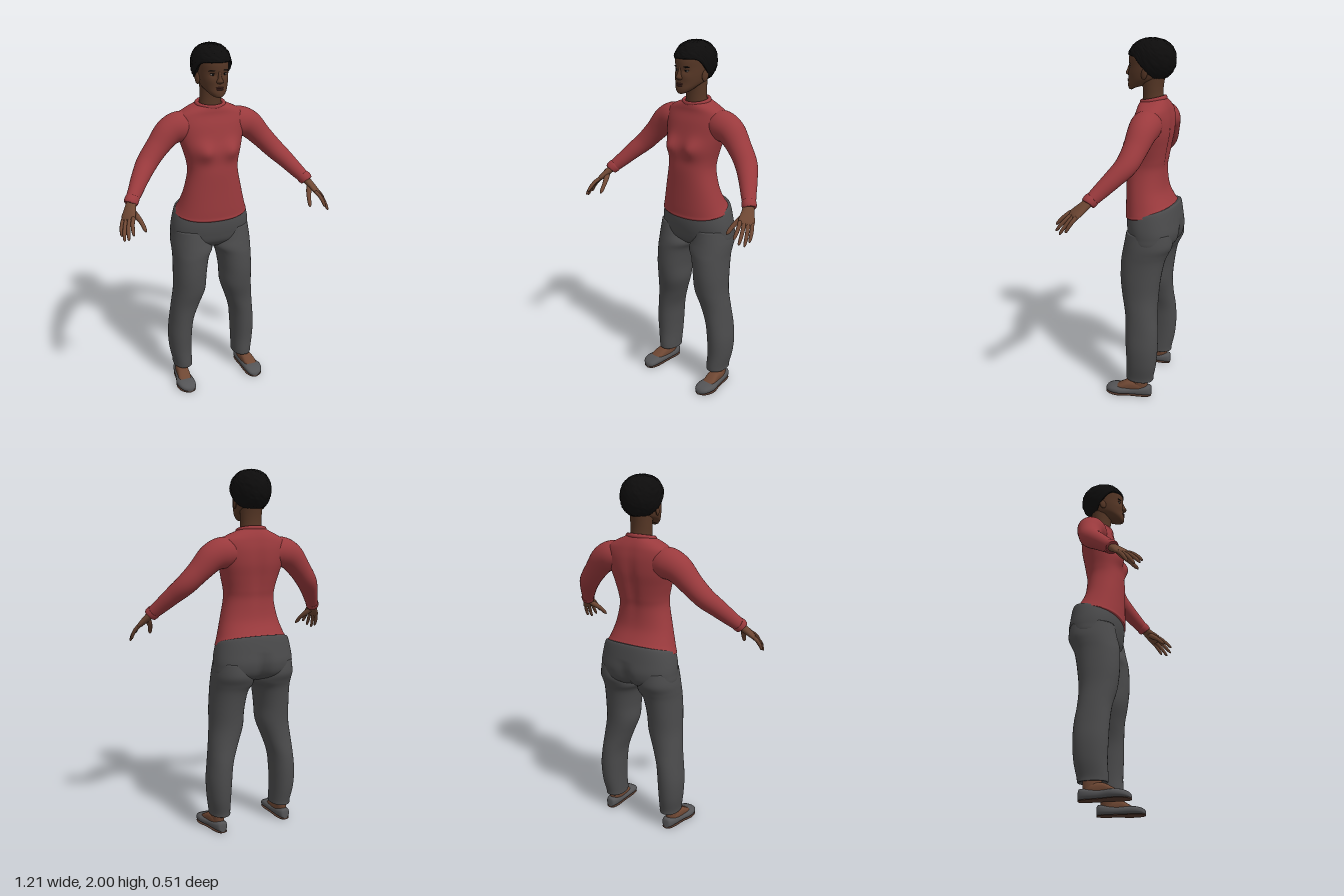
import * as THREE from 'three';

const mat = (name, color) => {
  const m = new THREE.MeshStandardMaterial({ color });
  m.name = name;
  return m;
};

// Catmull-Rom blend through a list of number arrays, t in 0..1
function sample(list, t) {
  const f = Math.min(Math.max(t, 0), 1) * (list.length - 1);
  const i = Math.min(Math.floor(f), list.length - 2), u = f - i;
  const at = k => list[Math.min(Math.max(k, 0), list.length - 1)];
  const [a, b, c, d] = [at(i - 1), at(i), at(i + 1), at(i + 2)];
  return b.map((v, k) => v + 0.5 * u * (c[k] - a[k] + u * (2 * a[k] - 5 * v + 4 * c[k] - d[k] + u * (3 * (v - c[k]) + d[k] - a[k]))));
}

// Closed smooth skin: point(section, angle, tangent) gives each ring vertex
function loft(name, material, sections, point, { cols = 32, rows = 40, mirror = 1 } = {}) {
  const pos = [], idx = [], v = new THREE.Vector3(), tan = new THREE.Vector3();
  for (let r = 0; r <= rows; r++) {
    const t = r / rows, sec = sample(sections, t);
    const p = sample(sections, t - 0.01), n = sample(sections, t + 0.01);
    tan.set(n[0] - p[0], n[1] - p[1], n[2] - p[2]).normalize();
    for (let c = 0; c < cols; c++) {
      v.copy(point(sec, c / cols * Math.PI * 2, tan));
      pos.push(v.x * mirror, v.y, v.z);
    }
  }
  for (let r = 0; r < rows; r++) for (let c = 0; c < cols; c++) {
    const a = r * cols + c, b = r * cols + (c + 1) % cols;
    idx.push(a, a + cols, b, b, a + cols, b + cols);
  }
  // end caps
  [0, rows].forEach(r => {
    const mid = [0, 0, 0], k = pos.length / 3;
    for (let c = 0; c < cols; c++) for (let j = 0; j < 3; j++) mid[j] += pos[(r * cols + c) * 3 + j] / cols;
    pos.push(...mid);
    for (let c = 0; c < cols; c++) {
      const a = r * cols + c, b = r * cols + (c + 1) % cols;
      idx.push(...(r === 0 ? [k, a, b] : [k, b, a]));
    }
  });
  // face outward whatever the path direction
  const P = k => new THREE.Vector3().fromArray(pos, k * 3);
  let vol = 0;
  for (let i = 0; i < idx.length; i += 3) vol += P(idx[i]).dot(P(idx[i + 1]).cross(P(idx[i + 2])));
  if (vol < 0) idx.reverse();
  const g = new THREE.BufferGeometry();
  g.setAttribute('position', new THREE.Float32BufferAttribute(pos, 3));
  g.setIndex(idx);
  g.computeVertexNormals();
  const m = new THREE.Mesh(g, material);
  m.name = name;
  return m;
}

const pw = (x, e) => Math.sign(x) * Math.pow(Math.abs(x), e);
const bell = (d, w) => Math.exp(-(d * d) / (w * w));
const V = (x, y, z) => new THREE.Vector3(x, y, z);

// Level ring: [front y, back y, half width, front z, back z, centre x]
const level = (e, shape) => ([yf, yb, rx, zf, zb, cx = 0], a) => {
  const s = pw(Math.sin(a), e);
  const p = V(cx + rx * pw(Math.cos(a), e), yb + (yf - yb) * (s + 1) / 2, (zf + zb) / 2 + (zf - zb) / 2 * s);
  if (shape) shape(p, s);
  return p;
};

// Ring square to a path: [x, y, z, radius across ref, radius along ref]
const limb = ref => ([x, y, z, r1, r2], a, tan) => {
  const side = tan.clone().cross(ref).normalize(), up = side.clone().cross(tan);
  return V(x, y, z).addScaledVector(side, r1 * Math.cos(a)).addScaledVector(up, r2 * Math.sin(a));
};

export function createModel() {
  const root = new THREE.Group();
  const faceSkin = mat('face skin', 0x553625), skin = mat('skin', 0x6e4733), red = mat('sweater red', 0x9a3a3d);
  const grey = mat('trouser grey', 0x4b4b4c), shoeGrey = mat('shoe grey', 0x545456), soleBrown = mat('sole brown', 0x553a2e);
  const black = mat('hair black', 0x0d0c0c), white = mat('eye white', 0x9c9088), lipCol = mat('lip', 0x4a2823);
  const add = (...m) => root.add(...m);
  const ball = (name, m, p, s) => {
    const b = new THREE.Mesh(new THREE.SphereGeometry(1, 20, 14), m);
    b.name = name;
    b.position.set(...p);
    b.scale.set(...s);
    add(b);
    return b;
  };

  // Sweater body with bust and spine hollow
  add(loft('sweaterBody', red, [
    [1.03, 1.085, .2, .04, -.225], [1.04, 1.09, .212, .05, -.238], [1.055, 1.1, .207, .049, -.23],
    [1.1, 1.13, .192, .05, -.205], [1.2, 1.2, .167, .05, -.172], [1.3, 1.3, .145, .05, -.162],
    [1.36, 1.36, .147, .046, -.17], [1.43, 1.43, .165, .042, -.182], [1.5, 1.5, .185, .026, -.194],
    [1.57, 1.57, .198, .008, -.195], [1.62, 1.62, .192, -.01, -.187], [1.648, 1.652, .15, -.015, -.177],
    [1.667, 1.683, .09, -.02, -.16], [1.675, 1.69, .07, -.03, -.15]
  ], level(.88, (p, s) => {
    if (s > 0) p.z += .032 * s * (bell(p.x - .08, .05) + bell(p.x + .08, .05)) * bell(p.y - 1.435, .05);
    else p.z += .012 * bell(p.x, .03) * bell(p.y - 1.45, .16);
  }), { cols: 64, rows: 90 }));
  const collar = new THREE.Mesh(new THREE.TorusGeometry(1, .15, 12, 48), red);
  collar.name = 'collar';
  collar.scale.set(.076, .064, .085);
  collar.rotation.x = Math.PI / 2 + .2;
  collar.position.set(0, 1.678, -.088);
  add(collar);

  // Trouser seat
  add(loft('trouserSeat', grey, [
    [1.045, 1.118, .19, .03, -.225], [1.04, 1.112, .209, .041, -.24], [1.0, 1.03, .226, .042, -.252],
    [.95, .96, .232, .035, -.257], [.9, .9, .225, .02, -.235], [.86, .86, .15, -.02, -.17]
  ], level(.9, (p, s) => {
    if (s < 0) p.z += .03 * bell(p.x, .03) * Math.min(Math.max((1.03 - p.y) / .12, 0), 1);
  }), { cols: 64 }));

  const fingerAxis = V(.65, -.22, -.72).normalize();
  for (const mirror of [1, -1]) {
    const side = mirror > 0 ? 'left' : 'right', o = { mirror };

    // Sleeve and cuff
    add(loft(side + 'Sleeve', red, [
      [.1, 1.55, -.1, .07, .07], [.17, 1.56, -.1, .082, .084], [.24, 1.535, -.098, .076, .077],
      [.31, 1.465, -.085, .065, .063], [.375, 1.395, -.06, .06, .056], [.43, 1.335, -.01, .05, .048],
      [.48, 1.275, .045, .04, .04], [.514, 1.236, .081, .034, .034]
    ], limb(V(0, 1, 0)), { mirror, rows: 48 }));
    add(loft(side + 'Cuff', red, [
      [.503, 1.249, .069, .032, .032], [.506, 1.245, .073, .038, .038],
      [.52, 1.23, .088, .037, .037], [.523, 1.226, .091, .03, .03]
    ], limb(V(0, 1, 0)), { mirror, rows: 12 }));

    // Hand: palm, four fingers, thumb
    add(loft(side + 'Palm', skin, [
      [.505, 1.247, .07, .022, .025], [.53, 1.21, .11, .02, .033],
      [.548, 1.182, .14, .016, .042], [.556, 1.168, .157, .012, .04], [.56, 1.161, .164, .005, .034]
    ], limb(fingerAxis), { mirror, cols: 24, rows: 24 }));
    [[.555, 1.11, .25], [.58, 1.085, .242], [.596, 1.073, .217], [.6, 1.087, .182]].forEach((tip, i) => {
      const b = V(.553, 1.172, .153).addScaledVector(fingerAxis, -.031 + i * .0205);
      const at = (t, r) => [b.x + (tip[0] - b.x) * t + .006 * Math.sin(t * 3.14), b.y + (tip[1] - b.y) * t + .006 * Math.sin(t * 3.14),
        b.z + (tip[2] - b.z) * t, r, r];
      add(loft(side + 'Finger' + (i + 1), skin, [at(0, .011), at(.35, .0105), at(.7, .0095), at(.93, .007), at(1, .002)],
        limb(fingerAxis), { mirror, cols: 12, rows: 16 }));
    });
    add(loft(side + 'Thumb', skin, [
      [.53, 1.205, .11, .014, .014], [.51, 1.178, .142, .015, .016], [.493, 1.15, .175, .012, .012],
      [.484, 1.12, .204, .01, .01], [.48, 1.108, .216, .003, .003]
    ], limb(fingerAxis), { mirror, cols: 14, rows: 18 }));

    // Trouser leg: [y, centre x, half width, front z, back z]
    add(loft(side + 'TrouserLeg', grey, [
      [.97, .13, .095, .02, -.23], [.9, .125, .11, .034, -.236], [.85, .12, .116, .045, -.215],
      [.8, .133, .102, .05, -.195], [.7, .143, .095, .05, -.177], [.6, .148, .093, .038, -.167],
      [.5, .171, .081, .016, -.168], [.4, .193, .069, .008, -.178], [.3, .203, .068, .004, -.18],
      [.2, .203, .063, 0, -.172], [.12, .196, .056, .004, -.156], [.095, .195, .055, .002, -.153],
      [.098, .195, .045, -.01, -.14]
    ].map(([y, cx, rx, zf, zb]) => [y, y, rx, zf, zb, cx]), level(.93), { mirror, rows: 72 }));

    // Foot, shoe and sole run along z: [z, centre x, half width, top y, bottom y]
    const along = ([z, cx, rx, top, low], a) => {
      const s = pw(Math.sin(a), .75);
      return V(cx + rx * pw(Math.cos(a), .75), (top + low) / 2 + (top - low) / 2 * s, z);
    };
    add(loft(side + 'Ankle', skin, [[.14, .14, .036, -.03, -.125, .2], [.08, .08, .034, -.025, -.125, .204], [.03, .03, .03, -.02, -.12, .207]],
      level(1), { mirror, cols: 24, rows: 8 }));
    add(loft(side + 'Foot', skin, [
      [-.12, .205, .02, .06, .02], [-.08, .207, .033, .085, .02], [-.02, .212, .036, .088, .02],
      [.03, .218, .038, .064, .02], [.065, .219, .03, .042, .02]
    ], along, { mirror, cols: 24, rows: 20 }));
    const outline = [[-.145, .204, .008, .04], [-.138, .204, .026, .062], [-.1, .206, .038, .06], [-.03, .212, .043, .05],
      [.03, .22, .053, .052], [.07, .22, .052, .05], [.1, .217, .042, .042], [.116, .214, .026, .032], [.122, .213, .006, .02]];
    add(loft(side + 'Shoe', shoeGrey, outline.map(s => [...s, .006]), along, o));
    add(loft(side + 'Sole', soleBrown, outline.map(([z, x, w]) => [z, x, w * .97, .009, 0]), along, o));

    // Eye, brow and ear
    ball(side + 'EyeWhite', white, [mirror * .033, 1.848, .0265], [.0135, .0055, .008]);
    ball(side + 'Iris', black, [mirror * .033, 1.848, .0315], [.0058, .0055, .004]);
    const lid = ball(side + 'UpperLid', black, [mirror * .033, 1.8535, .0285], [.0155, .0022, .007]);
    lid.rotation.y = mirror * .3;
    const brow = ball(side + 'Brow', black, [mirror * .035, 1.869, .034], [.021, .0038, .005]);
    brow.rotation.set(0, mirror * .35, -mirror * .08);
    const ear = ball(side + 'Ear', faceSkin, [mirror * .084, 1.82, -.062], [.009, .031, .019]);
    ear.rotation.set(-.2, mirror * -.3, 0);
  }

  // Neck and head with eye sockets and cheeks
  add(loft('neck', faceSkin, [[1.63, 1.64, .07, -.03, -.155], [1.69, 1.7, .06, -.032, -.142], [1.74, 1.75, .059, -.03, -.142], [1.79, 1.8, .06, -.02, -.15]],
    level(1), { rows: 16 }));
  add(loft('head', faceSkin, [
    [1.726, 1.745, .015, .036, 0], [1.731, 1.755, .036, .048, -.05], [1.75, 1.775, .055, .053, -.09],
    [1.78, 1.79, .069, .05, -.13], [1.82, 1.82, .077, .048, -.15], [1.86, 1.86, .081, .046, -.17],
    [1.91, 1.91, .083, .044, -.18], [1.95, 1.95, .07, .018, -.16], [1.98, 1.98, .03, -.04, -.12]
  ], level(.95, (p, s) => {
    if (s <= 0) return;
    const ax = Math.abs(p.x);
    p.z += s * (.004 * bell(ax - .045, .02) * bell(p.y - 1.815, .02) - .008 * bell(ax - .032, .016) * bell(p.y - 1.848, .012));
  }), { cols: 64, rows: 72 }));
  add(loft('nose', faceSkin, [
    [1.8, 1.802, .008, .05, .03], [1.806, 1.806, .018, .059, .03], [1.815, 1.815, .0185, .068, .03],
    [1.832, 1.832, .011, .061, .03], [1.858, 1.858, .008, .05, .03], [1.868, 1.868, .008, .044, .03]
  ], level(1), { cols: 24, rows: 24 }));
  ball('upperLip', lipCol, [0, 1.781, .047], [.023, .005, .009]);
  ball('lowerLip', lipCol, [0, 1.772, .047], [.02, .0055, .0095]);

  // Hair cap: [share of the way from crown to hairline, scale], with a curly uneven surface
  const hash = (a, b) => { const h = Math.sin(a * 127.1 + b * 311.7) * 43758.5453; return h - Math.floor(h); };
  add(loft('hair', black, [[.01, 1], [.25, 1], [.5, 1], [.75, 1], [1, 1], [1, .84]], ([v, k], a) => {
    const t = Math.min(Math.max((.75 - Math.sin(a)) / 1.35, 0), 1);
    const phi = v * (80 + 75 * t * t * (3 - 2 * t)) * Math.PI / 180;
    const r = k * (.975 + .035 * hash(Math.round(a * 100), Math.round(v * 200)) + .01 * Math.sin(a * 13) * Math.sin(v * 19));
    const w = pw(Math.sin(phi), .88) * r;
    return V(.107 * w * Math.cos(a), 1.889 + .11 * r * pw(Math.cos(phi), .9), -.08 + .13 * w * Math.sin(a));
  }, { cols: 72, rows: 50 }));

  return root;
}
